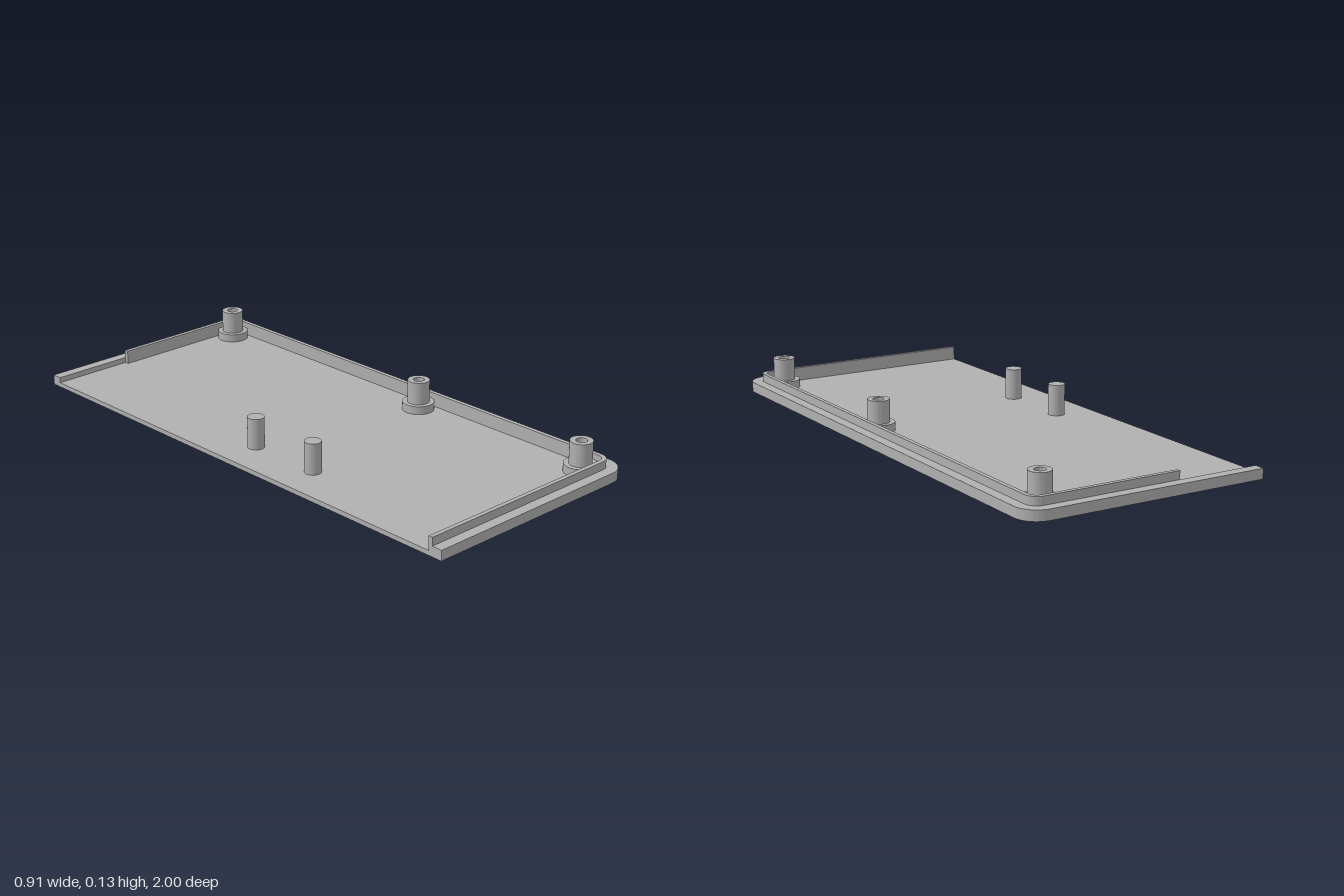
import * as THREE from 'three';
import { toCreasedNormals } from 'three/addons/utils/BufferGeometryUtils.js';

const X = 0.453; // half width; the -x side is open
const FLOOR = 0.017, SKIN = 0.007, RIM = 0.037, LIP = 0.067, TOP = 0.13;
const BOSS_X = 0.341, BOSS_Z = [-0.892, 0.134, 0.887];
const PEG_X = -0.313, PEG_Z = [-0.01, 0.277];
const FOOT_X = 0.22, FOOT_Z = [-0.79, 0.785];

// Outline inset by d with corner radius r, running from the front open end to the back open end
function trace(shape, d, r, backStart = -X) {
  const cx = X - d - r, cy = 1 - d - r;
  shape.moveTo(-X, d - 1);
  shape.lineTo(cx, d - 1);
  shape.absarc(cx, -cy, r, -Math.PI / 2, 0, false);
  shape.absarc(cx, cy, r, 0, Math.PI / 2, false);
  shape.lineTo(backStart, 1 - d);
  return shape;
}

// U-shaped wall between two insets
function wallShape(d0, r0, d1, r1, backStart = -X) {
  const shape = trace(new THREE.Shape(), d0, r0, backStart);
  const cx = X - d1 - r1, cy = 1 - d1 - r1;
  shape.lineTo(backStart, 1 - d1);
  shape.lineTo(cx, 1 - d1);
  shape.absarc(cx, cy, r1, Math.PI / 2, 0, true);
  shape.absarc(cx, -cy, r1, 0, -Math.PI / 2, true);
  shape.lineTo(-X, d1 - 1);
  return shape;
}

// Floor layer with round holes given as [x, z, radius]
function floorShape(holes) {
  const shape = trace(new THREE.Shape(), 0, 0.08);
  for (const [x, z, r] of holes) {
    shape.holes.push(new THREE.Path().absarc(x, -z, r, 0, Math.PI * 2, true));
  }
  return shape;
}

// Extrude a plan shape upward from y0 to y1
function slab(shape, y0, y1) {
  const geo = new THREE.ExtrudeGeometry(shape, { depth: y1 - y0, bevelEnabled: false, curveSegments: 24 });
  geo.rotateX(-Math.PI / 2).translate(0, y0, 0);
  return toCreasedNormals(geo, 0.6);
}

export function createModel() {
  const group = new THREE.Group();
  const grey = new THREE.MeshStandardMaterial({ color: 0xb0b0b0 });
  grey.name = 'grey plastic';

  function add(name, geo, x = 0, z = 0) {
    const mesh = new THREE.Mesh(geo, grey);
    mesh.name = name;
    mesh.position.set(x, 0, z);
    group.add(mesh);
  }

  // Floor: the underside skin has screw openings and two shallow foot recesses
  const screws = BOSS_Z.map((z) => [BOSS_X, z, 0.032]);
  const feet = FOOT_Z.map((z) => [FOOT_X, z, 0.08]);
  add('undersideSkin', slab(floorShape([...screws, ...feet]), 0, SKIN));
  add('floor', slab(floorShape(screws), SKIN, FLOOR));

  // Stepped edge: low outer rim and taller inner lip, shorter along the back
  add('outerRim', slab(wallShape(0, 0.08, 0.039, 0.045), FLOOR, RIM));
  add('innerLip', slab(wallShape(0.039, 0.045, 0.055, 0.03, -0.145), FLOOR, LIP));

  // Screw bosses: collar, post, bore and a wider screw-head pocket below
  const profile = [
    [0.058, 0.01], [0.058, 0.047], [0.04, 0.047], [0.04, TOP],
    [0.02, TOP], [0.02, 0.03], [0.032, 0.03], [0.032, 0],
  ].map(([r, y]) => new THREE.Vector2(r, y));
  const bossGeo = toCreasedNormals(new THREE.LatheGeometry(profile, 40), 0.6);
  for (const z of BOSS_Z) add('screwBoss', bossGeo, BOSS_X, z);

  // Locating pegs
  const pegHeight = TOP - SKIN - 0.003;
  const pegGeo = new THREE.CylinderGeometry(0.03, 0.03, pegHeight, 32);
  pegGeo.translate(0, TOP - pegHeight / 2, 0);
  for (const z of PEG_Z) add('locatingPeg', pegGeo, PEG_X, z);

  return group;
}
